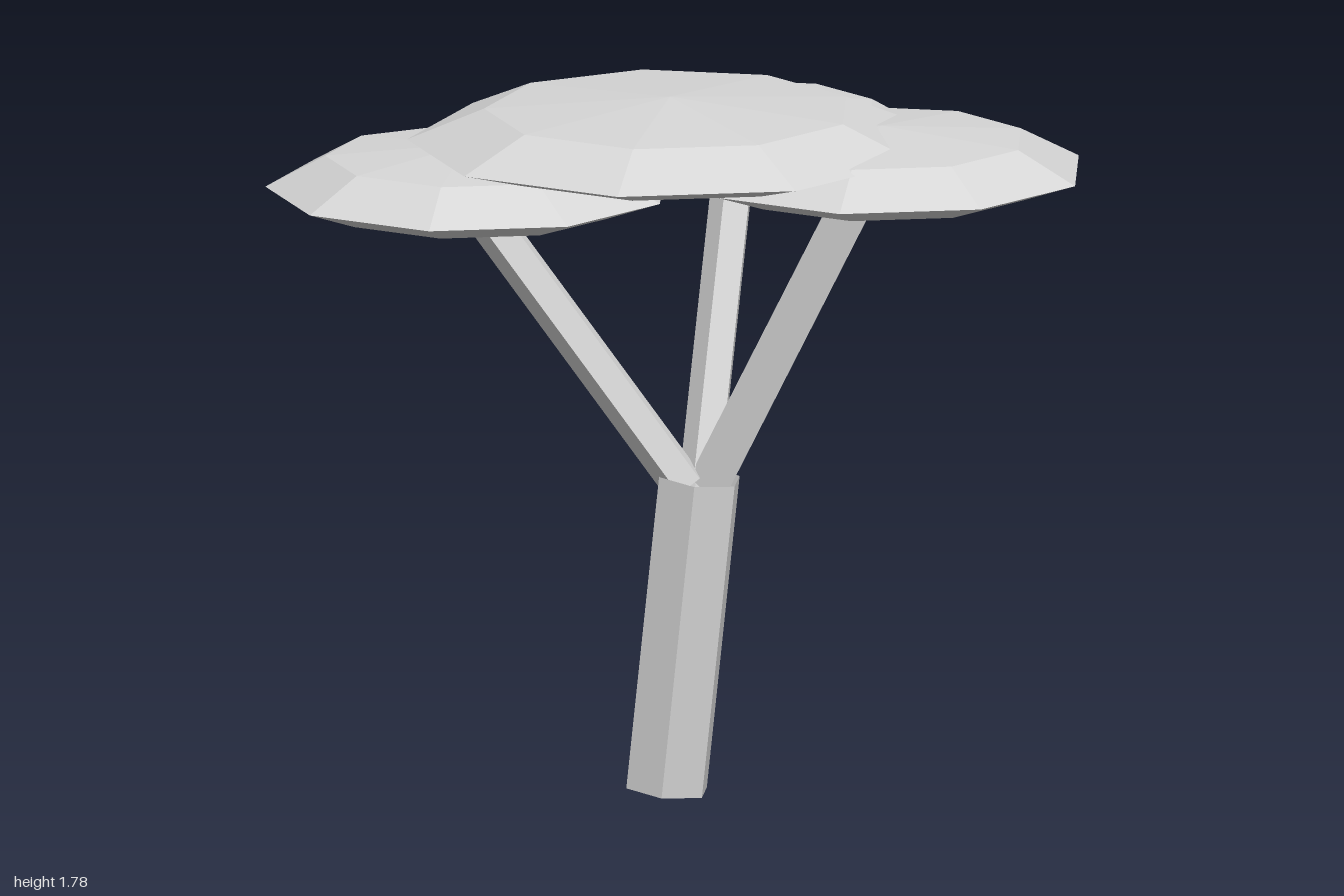
import * as THREE from 'three';

export function createModel() {
  const model = new THREE.Group();
  const grey = new THREE.MeshStandardMaterial({ color: 0xd6d6d6, flatShading: true, side: THREE.DoubleSide });
  grey.name = 'pale grey';

  // Open faceted tube between two points
  function post(name, from, to, radius, sides, thetaStart) {
    const a = new THREE.Vector3(...from);
    const b = new THREE.Vector3(...to);
    const dir = b.clone().sub(a);
    const geometry = new THREE.CylinderGeometry(radius, radius, dir.length(), sides, 1, true, thetaStart);
    const mesh = new THREE.Mesh(geometry, grey);
    mesh.name = name;
    mesh.position.copy(a).add(b).multiplyScalar(0.5);
    mesh.quaternion.setFromUnitVectors(new THREE.Vector3(0, 1, 0), dir.normalize());
    model.add(mesh);
  }

  // Leaning trunk and the three branches that fan out from its top
  post('trunk', [-0.05, 0.01, 0.075], [0.037, 0.805, 0.075], 0.109, 6, Math.PI / 12);
  post('leftLimb', [0.01, 0.78, 0.095], [-0.5, 1.475, 0.2], 0.055, 5, 0);
  post('rightLimb', [0.06, 0.78, 0.065], [0.44, 1.555, 0.0], 0.055, 5, 0);
  post('backLimb', [0.03, 0.78, 0.045], [-0.01, 1.52, -0.29], 0.055, 5, 0);

  // Flat nine-sided leaf pad: shallow hollow dome with a turned-in rim
  function leafPad(name, x, y, z, radius) {
    const h = 0.112;
    const profile = [
      [0.72, -0.44], [1, 0], [0.707, 0.707], [0, 1],
    ].map(([r, v]) => new THREE.Vector2(r * radius, v * h));
    const mesh = new THREE.Mesh(new THREE.LatheGeometry(profile, 9, Math.PI / 2), grey);
    mesh.name = name;
    mesh.position.set(x, y, z);
    model.add(mesh);
  }

  leafPad('topLeaves', -0.01, 1.667, 0.154, 0.65);
  leafPad('rightLeaves', 0.485, 1.6, -0.012, 0.515);
  leafPad('leftLeaves', -0.525, 1.515, 0.196, 0.505);
  leafPad('backLeaves', 0, 1.567, -0.35, 0.456);

  return model;
}
